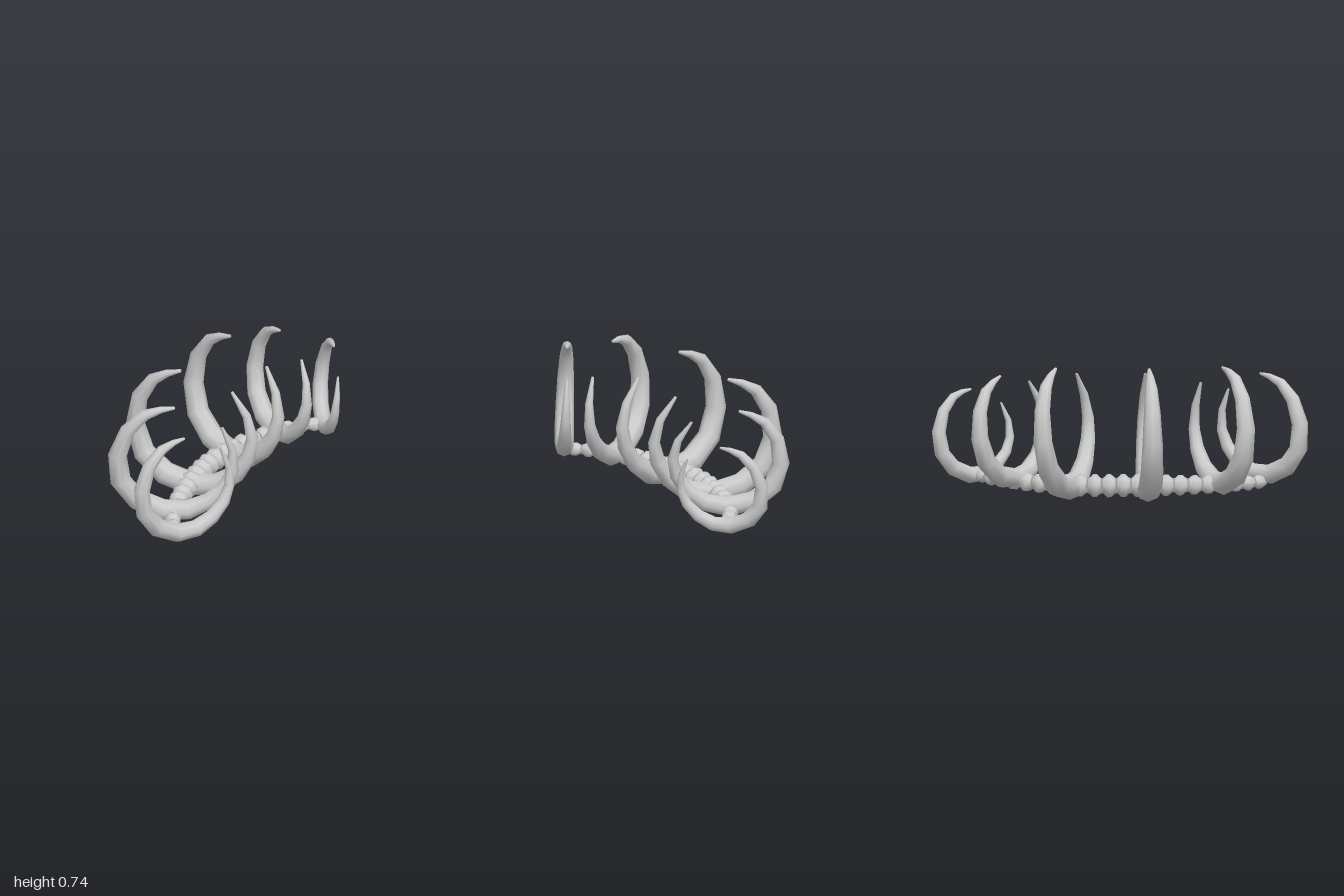
import * as THREE from 'three';

// Rib centreline in its own plane: [across, up, radius], left tip to right tip
const PROFILE = [
  [-0.16, 0.735, 0.009], [-0.235, 0.708, 0.021], [-0.318, 0.658, 0.034], [-0.395, 0.54, 0.045],
  [-0.42, 0.37, 0.055], [-0.37, 0.21, 0.061], [-0.25, 0.105, 0.065], [-0.09, 0.065, 0.065],
  [0.05, 0.095, 0.059], [0.155, 0.175, 0.05], [0.225, 0.285, 0.042], [0.247, 0.4, 0.034],
  [0.215, 0.53, 0.024], [0.13, 0.66, 0.008],
];
const SIDES = 8;

// Each rib: left end x, z; right end x, z; bottom; top; tilt in its plane; lean out of the vertical
const RIBS = [
  [-0.10, 0.985, 0.295, 0.535, 0.06, 0.665, -0.2, -0.03],
  [-0.38, 0.66, 0.27, 0.395, 0.035, 0.725, -0.2, 0.04],
  [-0.48, 0.135, 0.28, 0.135, 0, 0.74, 0, 0],
  [-0.365, -0.47, 0.31, -0.145, 0.005, 0.735, 0, -0.08],
  [-0.125, -0.8, 0.375, -0.375, 0.045, 0.667, 0, -0.1],
  [0.2, -0.997, 0.465, -0.55, 0.045, 0.553, -0.2, -0.12],
];

// Tapered tube around a planar centreline
function tubeGeometry(pts) {
  const pos = [], idx = [], n = pts.length;
  const rings = [[0, 0], ...pts.map((p, i) => [i, p[2]]), [n - 1, 0]];
  for (const [i, r] of rings) {
    const a = pts[Math.max(i - 1, 0)], b = pts[Math.min(i + 1, n - 1)];
    const t = new THREE.Vector2(b[0] - a[0], b[1] - a[1]).normalize();
    for (let j = 0; j < SIDES; j++) {
      const ang = (j / SIDES) * Math.PI * 2, c = Math.cos(ang) * r;
      pos.push(pts[i][0] - t.y * c, pts[i][1] + t.x * c, Math.sin(ang) * r);
    }
  }
  for (let i = 0; i < rings.length - 1; i++) {
    for (let j = 0; j < SIDES; j++) {
      const k = (j + 1) % SIDES, o = i * SIDES, q = o + SIDES;
      idx.push(o + j, o + k, q + k, o + j, q + k, q + j);
    }
  }
  const g = new THREE.BufferGeometry();
  g.setAttribute('position', new THREE.Float32BufferAttribute(pos, 3));
  g.setIndex(idx);
  g.computeVertexNormals();
  return g;
}

// Tilt the profile, fit it between the given ends and heights, then lean it about mid-height
function makeRib([xl, zl, xr, zr, bottom, top, tilt, lean], material) {
  const c = Math.cos(tilt), s = Math.sin(tilt);
  const p = PROFILE.map(([u, v, r]) => [u * c - v * s, u * s + v * c, r]);
  const lo = (k) => Math.min(...p.map((q) => q[k] - q[2]));
  const hi = (k) => Math.max(...p.map((q) => q[k] + q[2]));
  const u0 = lo(0), v0 = lo(1), height = top - bottom;
  const su = Math.hypot(xr - xl, zr - zl) / (hi(0) - u0), sv = height / (hi(1) - v0);
  const fitted = p.map(([u, v, r]) => [(u - u0) * su, (v - v0) * sv - height / 2, r * (su + sv) / 2]);
  const rib = new THREE.Mesh(tubeGeometry(fitted), material);
  rib.position.set(xl, bottom + height / 2, zl);
  rib.rotation.set(lean, Math.atan2(zl - zr, xr - xl), 0, 'YXZ');
  return rib;
}

export function createModel() {
  const model = new THREE.Group();
  model.name = 'ribCage';
  const bone = new THREE.MeshStandardMaterial({ color: 0xcccccc });

  // Ribs
  RIBS.forEach((row, i) => {
    const rib = makeRib(row, bone);
    rib.name = `rib${i + 1}`;
    model.add(rib);
  });

  // Curved spine of bulging vertebrae, thickest in the middle
  const spine = new THREE.Group();
  spine.name = 'spine';
  const path = new THREE.CatmullRomCurve3([
    [0.07, 0.075, 0.77], [-0.01, 0.08, 0.65], [-0.065, 0.085, 0.47], [-0.09, 0.088, 0.27],
    [-0.095, 0.09, 0.05], [-0.07, 0.088, -0.17], [0.0, 0.088, -0.38], [0.1, 0.088, -0.56],
    [0.19, 0.088, -0.67], [0.3, 0.09, -0.75],
  ].map((q) => new THREE.Vector3(...q)));
  const bead = new THREE.LatheGeometry(
    [[0, -0.5], [0.66, -0.5], [0.7, -0.38], [1, -0.14], [1, 0.14], [0.7, 0.38], [0.66, 0.5], [0, 0.5]]
      .map((q) => new THREE.Vector2(...q)), 8);
  const count = 22, step = path.getLength() / count;
  const up = new THREE.Vector3(0, 1, 0);
  for (let i = 0; i < count; i++) {
    const t = (i + 0.5) / count;
    const r = 0.035 + 0.027 * Math.sin(Math.PI * t);
    const vertebra = new THREE.Mesh(bead, bone);
    vertebra.name = `vertebra${i + 1}`;
    vertebra.position.copy(path.getPointAt(t));
    vertebra.quaternion.setFromUnitVectors(up, path.getTangentAt(t));
    vertebra.scale.set(r, step * 1.03, r);
    spine.add(vertebra);
  }
  model.add(spine);
  return model;
}
